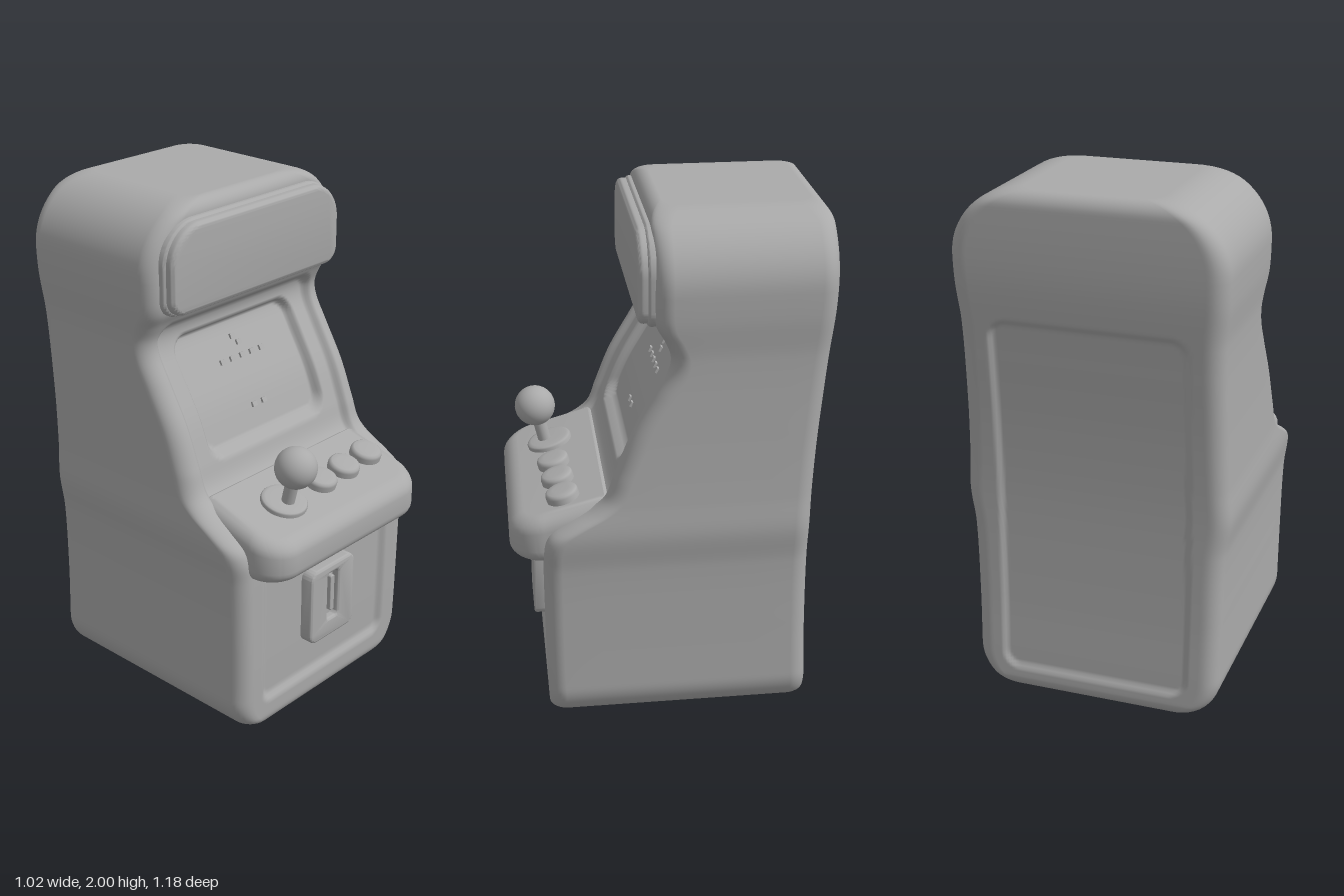
import * as THREE from 'three';
import { toCreasedNormals } from 'three/addons/utils/BufferGeometryUtils.js';

const grey = new THREE.MeshStandardMaterial({ color: 0xaaaaaa });
grey.name = 'warm clay grey';

// Smooth interpolation through [y, value] pairs
function curve(p) {
  const slope = (i) => {
    const a = p[Math.max(i - 1, 0)], b = p[Math.min(i + 1, p.length - 1)];
    return (b[1] - a[1]) / (b[0] - a[0]);
  };
  return (y) => {
    let i = 0;
    while (i < p.length - 2 && y > p[i + 1][0]) i++;
    const h = p[i + 1][0] - p[i][0];
    const t = THREE.MathUtils.clamp((y - p[i][0]) / h, 0, 1), t2 = t * t, t3 = t2 * t;
    return p[i][1] * (2 * t3 - 3 * t2 + 1) + slope(i) * h * (t3 - 2 * t2 + t)
      + p[i + 1][1] * (3 * t2 - 2 * t3) + slope(i + 1) * h * (t3 - t2);
  };
}

// Side profile (front and back z) and half width, all by height
const frontZ = curve([[0, 0.465], [0.3, 0.472], [0.7, 0.472], [0.77, 0.468], [0.82, 0.445], [0.86, 0.385],
  [0.91, 0.295], [0.96, 0.24], [1.05, 0.205], [1.2, 0.145], [1.35, 0.06], [1.44, 0.01], [1.5, 0.0],
  [1.56, 0.022], [1.61, 0.05], [1.66, 0.06], [1.8, 0.06], [2, 0.06]]);
const backZ = curve([[0, -0.54], [0.15, -0.535], [0.4, -0.525], [0.8, -0.522], [1.1, -0.535], [1.4, -0.56],
  [1.65, -0.583], [1.8, -0.588], [2, -0.585]]);
const halfWidth = curve([[0, 0.485], [0.4, 0.488], [0.68, 0.495], [0.82, 0.512], [0.95, 0.505],
  [1.2, 0.497], [1.5, 0.495], [1.65, 0.508], [1.8, 0.51], [2, 0.505]]);

// How much a rounded end of radius r pulls the outline in
const endInset = (y, r, R) => {
  const pull = (d, k) => (d < k ? k - Math.sqrt(Math.max(0, k * k - (k - d) ** 2)) : 0);
  return pull(y, r) + pull(2 - y, R);
};

// Soft-edged rounded rectangle mask: 1 inside, 0 outside
function pocket(x, y, hw, y0, y1, r, soft) {
  const qx = Math.abs(x) - hw + r, qy = Math.abs(y - (y0 + y1) / 2) - (y1 - y0) / 2 + r;
  const d = Math.hypot(Math.max(qx, 0), Math.max(qy, 0)) + Math.min(Math.max(qx, qy), 0) - r;
  return 1 - THREE.MathUtils.smoothstep(d, -soft, 0);
}
const frontDepth = (x, y) => 0.018 * pocket(x, y, 0.37, 0.11, 0.8, 0.06, 0.035)
  + 0.028 * pocket(x, y, 0.425, 0.88, 1.56, 0.07, 0.03)
  + 0.04 * pocket(x, y, 0.33, 1.035, 1.475, 0.075, 0.025);
const backDepth = (x, y) => 0.014 * pocket(x, y, 0.375, 0.09, 1.53, 0.07, 0.018);

// Cabinet: horizontal cross-sections stacked from bottom to top
function cabinetGeometry() {
  const heights = [];
  const endSteps = 20, midSteps = 150;
  for (let i = 0; i < endSteps; i++) heights.push(0.16 * (1 - Math.cos((i / endSteps) * Math.PI / 2)));
  for (let i = 0; i < midSteps; i++) heights.push(0.16 + (1.59 * i) / midSteps);
  for (let i = 0; i <= endSteps; i++) heights.push(1.75 + 0.25 * Math.sin((i / endSteps) * Math.PI / 2));

  const pos = [], idx = [];
  let n = 0;
  heights.forEach((y) => {
    const inset = endInset(y, 0.055, 0.055);
    const w = halfWidth(y) - endInset(y, 0.16, 0.25);
    const zf = frontZ(y) - inset, zb = backZ(y) + inset, r = 0.065;
    const row = [];
    const arc = (cx, cz, a0) => {
      for (let k = 1; k < 8; k++) {
        const a = a0 - (k / 8) * Math.PI / 2;
        row.push([cx + r * Math.cos(a), cz + r * Math.sin(a)]);
      }
    };
    const a = w - r;
    for (let k = 0; k <= 120; k++) {
      const x = -a + (2 * a * k) / 120;
      row.push([x, zf - frontDepth(x, y)]);
    }
    arc(a, zf - r, Math.PI / 2);
    for (let k = 0; k <= 6; k++) row.push([w, THREE.MathUtils.lerp(zf - r, zb + r, k / 6)]);
    arc(a, zb + r, 0);
    for (let k = 0; k <= 90; k++) {
      const x = a - (2 * a * k) / 90;
      row.push([x, zb + backDepth(x, y)]);
    }
    arc(-a, zb + r, -Math.PI / 2);
    for (let k = 0; k <= 6; k++) row.push([-w, THREE.MathUtils.lerp(zb + r, zf - r, k / 6)]);
    arc(-a, zf - r, -Math.PI);
    n = row.length;
    row.forEach(([x, z]) => pos.push(x, y, z));
  });
  const rows = heights.length, last = (rows - 1) * n;
  for (let j = 0; j < rows - 1; j++) for (let i = 0; i < n; i++) {
    const p = j * n + i, q = j * n + ((i + 1) % n);
    idx.push(p, q, q + n, p, q + n, p + n);
  }
  // bottom and top caps
  pos.push(0, 0, 0, 0, 2, -0.26);
  for (let i = 0; i < n; i++) {
    const k = (i + 1) % n;
    idx.push(rows * n, k, i, rows * n + 1, last + i, last + k);
  }
  const g = new THREE.BufferGeometry();
  g.setAttribute('position', new THREE.Float32BufferAttribute(pos, 3));
  g.setIndex(idx);
  g.computeVertexNormals();
  return g;
}

// Rounded rectangle with separate top and bottom corner radii
function roundedShape(hw, y0, y1, rTop, rBottom, S = THREE.Shape) {
  const s = new S(), P = Math.PI;
  s.absarc(hw - rBottom, y0 + rBottom, rBottom, -P / 2, 0);
  s.absarc(hw - rTop, y1 - rTop, rTop, 0, P / 2);
  s.absarc(-hw + rTop, y1 - rTop, rTop, P / 2, P);
  s.absarc(-hw + rBottom, y0 + rBottom, rBottom, P, P * 1.5);
  s.closePath();
  return s;
}
const slab = (shape, thick, bevel) => new THREE.ExtrudeGeometry(shape, {
  depth: thick - 2 * bevel, bevelThickness: bevel, bevelSize: bevel, bevelOffset: -bevel,
  bevelSegments: 6, curveSegments: 12,
}).translate(0, 0, bevel);

export function createModel() {
  const model = new THREE.Group();
  const add = (name, geometry, parent = model) => {
    const m = new THREE.Mesh(geometry, grey);
    m.name = name;
    parent.add(m);
    return m;
  };
  add('cabinet', cabinetGeometry());

  // Marquee: backing lip and raised sign
  add('marqueeLip', toCreasedNormals(slab(roundedShape(0.463, 1.605, 1.95, 0.16, 0.07), 0.07, 0.015), 0.7))
    .position.z = 0.012;
  add('marqueeSign', toCreasedNormals(slab(roundedShape(0.452, 1.615, 1.942, 0.15, 0.065), 0.08, 0.02), 0.7))
    .position.z = 0.035;

  // Little blocks on the screen
  const blocks = [[0, 1.39], [0.02, 1.365], [-0.015, 1.15], [0.04, 1.15]];
  for (let i = 0; i < 5; i++) blocks.push([-0.095 + 0.054 * i, 1.32]);
  blocks.forEach(([x, y]) => {
    const b = add('screenBlock', new THREE.BoxGeometry(0.024, 0.02, 0.018));
    b.position.set(x, y, frontZ(y) - frontDepth(x, y));
    b.rotation.x = -0.48;
  });

  // Control deck: slab with its top sheared into a slope
  const slope = 0.28, deckY = (z) => 0.87 + slope * (0.52 - z);
  const deck = slab(roundedShape(0.447, -0.595, -0.2, 0.04, 0.13), 0.18, 0.055).rotateX(-Math.PI / 2);
  const p = deck.attributes.position;
  for (let i = 0; i < p.count; i++) {
    p.setY(i, 0.69 + p.getY(i) + slope * (0.52 - p.getZ(i)) * (p.getY(i) / 0.18));
  }
  add('controlDeck', toCreasedNormals(deck, 0.7));

  // Low domed discs lying on the deck
  const disc = (name, x, z, r, h) => {
    const profile = [[r, -0.02], [r, h * 0.55], [r * 0.95, h * 0.8], [r * 0.82, h * 0.95], [r * 0.5, h], [0, h]];
    const m = add(name, new THREE.LatheGeometry(profile.map(([a, b]) => new THREE.Vector2(a, b)), 32));
    m.position.set(x, deckY(z), z);
    m.rotation.x = Math.atan(slope);
  };
  [[0.025, 0.405], [0.17, 0.398], [0.318, 0.388]].forEach(([x, z]) => disc('button', x, z, 0.063, 0.038));
  disc('joystickBase', -0.19, 0.41, 0.09, 0.022);

  // Joystick
  const foot = new THREE.Vector3(-0.19, 0.89, 0.425), top = new THREE.Vector3(-0.188, 1.063, 0.465);
  add('joystickStem', new THREE.TubeGeometry(new THREE.LineCurve3(foot, top), 1, 0.026, 16));
  add('joystickBall', new THREE.SphereGeometry(0.08, 32, 20)).position.copy(top);

  // Coin door with a slot
  const door = roundedShape(0.13, 0.28, 0.6, 0.04, 0.04);
  door.holes.push(roundedShape(0.03, 0.36, 0.56, 0.012, 0.012, THREE.Path));
  add('coinDoor', toCreasedNormals(slab(door, 0.065, 0.012), 0.7)).position.z = 0.441;
  add('coinSlotBack', new THREE.BoxGeometry(0.1, 0.24, 0.02)).position.set(0, 0.46, 0.465);
  add('coinSlotBar', slab(roundedShape(0.012, 0.385, 0.54, 0.008, 0.008), 0.03, 0.004)).position.set(0.005, 0, 0.468);

  return model;
}
